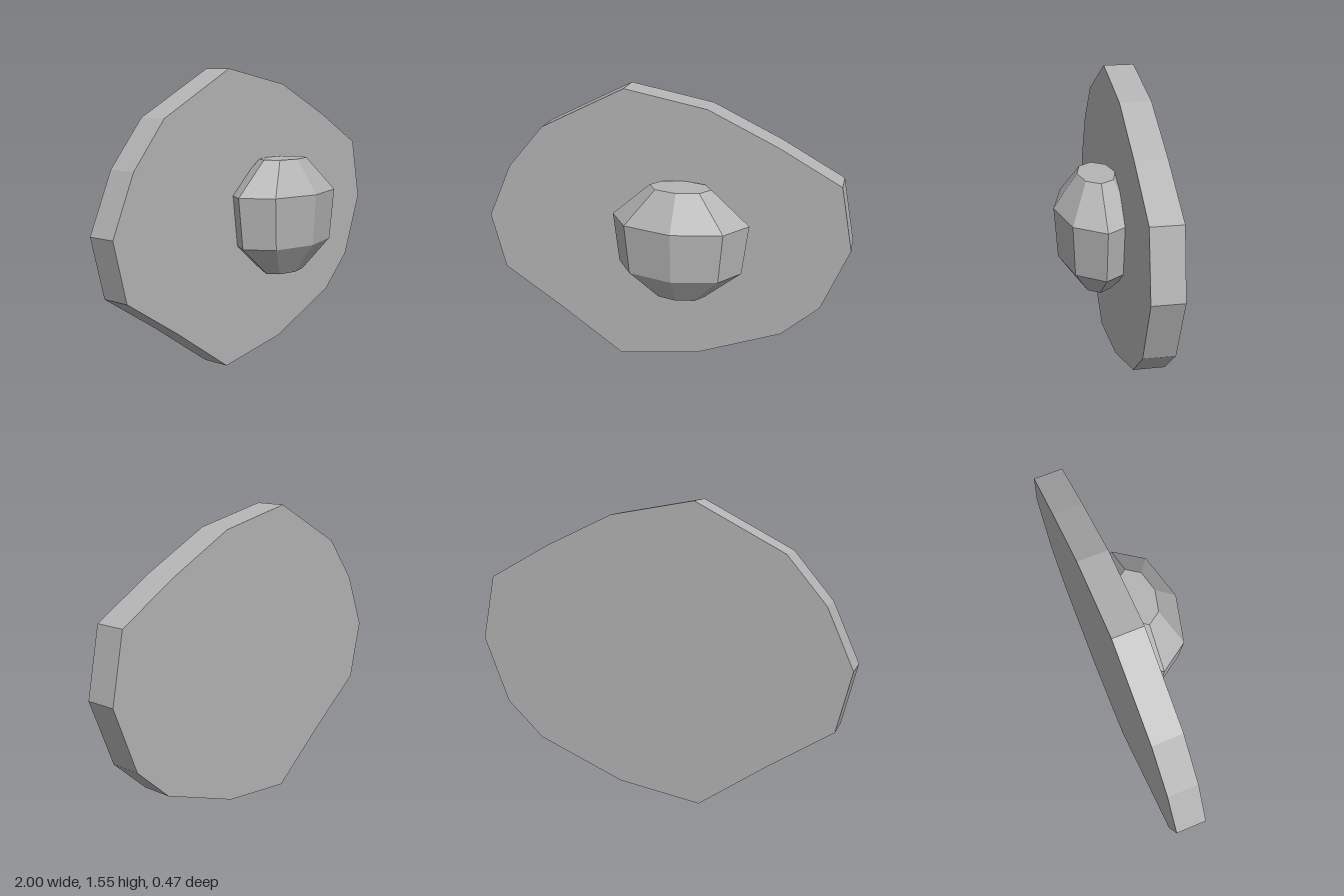
import * as THREE from 'three';

export function createModel() {
  const group = new THREE.Group();
  const grey = new THREE.MeshStandardMaterial({ color: 0xb4b4b4, flatShading: true });
  grey.name = 'stone grey';

  // Irregular flat slab standing upright
  const outline = [
    [-1, 0.78], [-0.925, 0.47], [-0.6, 0.255], [-0.24, 0], [0.2, 0.065],
    [0.665, 0.25], [0.865, 0.435], [1, 0.78], [0.93, 1.12], [0.6, 1.3],
    [0.235, 1.47], [-0.205, 1.55], [-0.665, 1.315], [-0.865, 1.08],
  ].map(([x, y]) => new THREE.Vector2(x, y));
  const slabGeometry = new THREE.ExtrudeGeometry(new THREE.Shape(outline), {
    depth: 0.157, bevelEnabled: false,
  });
  const slab = new THREE.Mesh(slabGeometry, grey);
  slab.name = 'backSlab';
  slab.position.z = -0.235;
  group.add(slab);

  // Eight-sided faceted boss, flattened in depth and sunk into the slab
  const profile = [
    [0, 0.47], [0.14, 0.47], [0.333, 0.63], [0.365, 0.9], [0.163, 1.08], [0, 1.08],
  ].map(([r, y]) => new THREE.Vector2(r, y));
  const boss = new THREE.Mesh(new THREE.LatheGeometry(profile, 8), grey);
  boss.name = 'facetedBoss';
  boss.scale.z = 0.6;
  boss.position.set(0.12, 0, 0.016);
  group.add(boss);

  return group;
}
